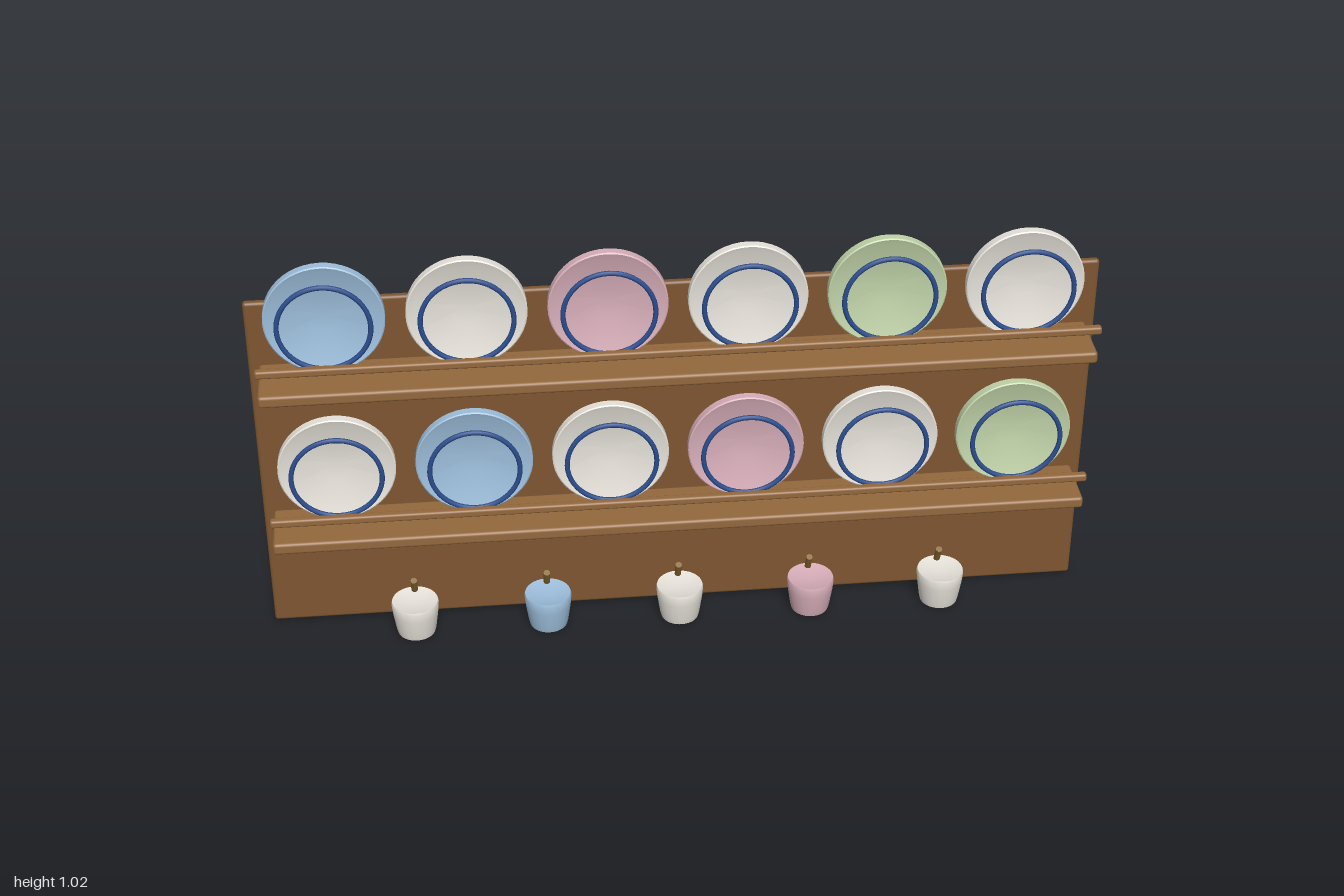
import * as THREE from 'three';
import { toCreasedNormals } from 'three/addons/utils/BufferGeometryUtils.js';
import { RoundedBoxGeometry } from 'three/addons/geometries/RoundedBoxGeometry.js';

const paint = (color) => new THREE.MeshStandardMaterial({ color });
const wood = paint(0x7d5530);
const shelfWood = paint(0x94683d);
const hookBrass = paint(0x8a6a32);
const blueGlaze = paint(0x2a4c8c);
const cream = paint(0xe6e2da);
const blue = paint(0x9dbedb);
const pink = paint(0xd6adb8);
const green = paint(0xc0d2a8);

function mesh(name, geometry, material, x = 0, y = 0, z = 0) {
  const m = new THREE.Mesh(geometry, material);
  m.name = name;
  m.position.set(x, y, z);
  return m;
}

function turned(points) {
  const profile = points.map(([r, h]) => new THREE.Vector2(r, h));
  return toCreasedNormals(new THREE.LatheGeometry(profile, 48), 0.6);
}

export function createModel() {
  const rack = new THREE.Group();
  rack.name = 'plateRack';

  // Back board
  rack.add(mesh('backBoard', new RoundedBoxGeometry(2, 0.91, 0.02, 3, 0.008), wood, 0, 0.459, -0.08));

  // Dish: flat back, bevelled edge, sloping front and a small flat centre
  const plateGeometry = turned([
    [0, 0], [0.121, 0], [0.14, 0.008], [0.14, 0.028], [0.137, 0.03],
    [0.125, 0.026], [0.038, 0.007], [0, 0.007],
  ]).rotateX(Math.PI / 2);
  const ringGeometry = new THREE.TorusGeometry(0.107, 0.006, 10, 48);
  const shelfGeometry = new RoundedBoxGeometry(1.95, 0.03, 0.15, 3, 0.008);
  const railGeometry = new RoundedBoxGeometry(1.95, 0.02, 0.02, 3, 0.006);

  // Two shelves, each with a guard rail and six plates
  const rows = [
    { y: 0.324, glazes: [cream, blue, cream, pink, cream, green] },
    { y: 0.737, glazes: [blue, cream, pink, cream, green, cream] },
  ];
  for (const { y, glazes } of rows) {
    const row = new THREE.Group();
    row.name = 'shelfRow';
    row.position.y = y;
    row.add(mesh('shelf', shelfGeometry, shelfWood, 0, 0, 0.006));
    row.add(mesh('guardRail', railGeometry, shelfWood, 0, 0.081, 0.083));
    glazes.forEach((glaze, i) => {
      const x = (i - 2.5) * 0.326;
      row.add(mesh('plate', plateGeometry, glaze, x, 0.147, -0.057));
      row.add(mesh('plateRing', ringGeometry, blueGlaze, x, 0.147, 0.008));
    });
    rack.add(row);
  }

  // Cups along the bottom, each with a slanted hook behind
  const cupGeometry = turned([
    [0, 0], [0.046, 0], [0.049, 0.012], [0.056, 0.06], [0.058, 0.084],
    [0.056, 0.09], [0.045, 0.087], [0, 0.08],
  ]);
  const hookGeometry = new THREE.CylinderGeometry(0.008, 0.008, 0.065, 12);
  [cream, blue, cream, pink, cream].forEach((glaze, i) => {
    const x = (i - 2) * 0.326;
    rack.add(mesh('cup', cupGeometry, glaze, x, 0, -0.004));
    const hook = mesh('cupHook', hookGeometry, hookBrass, x, 0.102, -0.043);
    hook.rotation.x = 0.47;
    rack.add(hook);
  });

  return rack;
}
